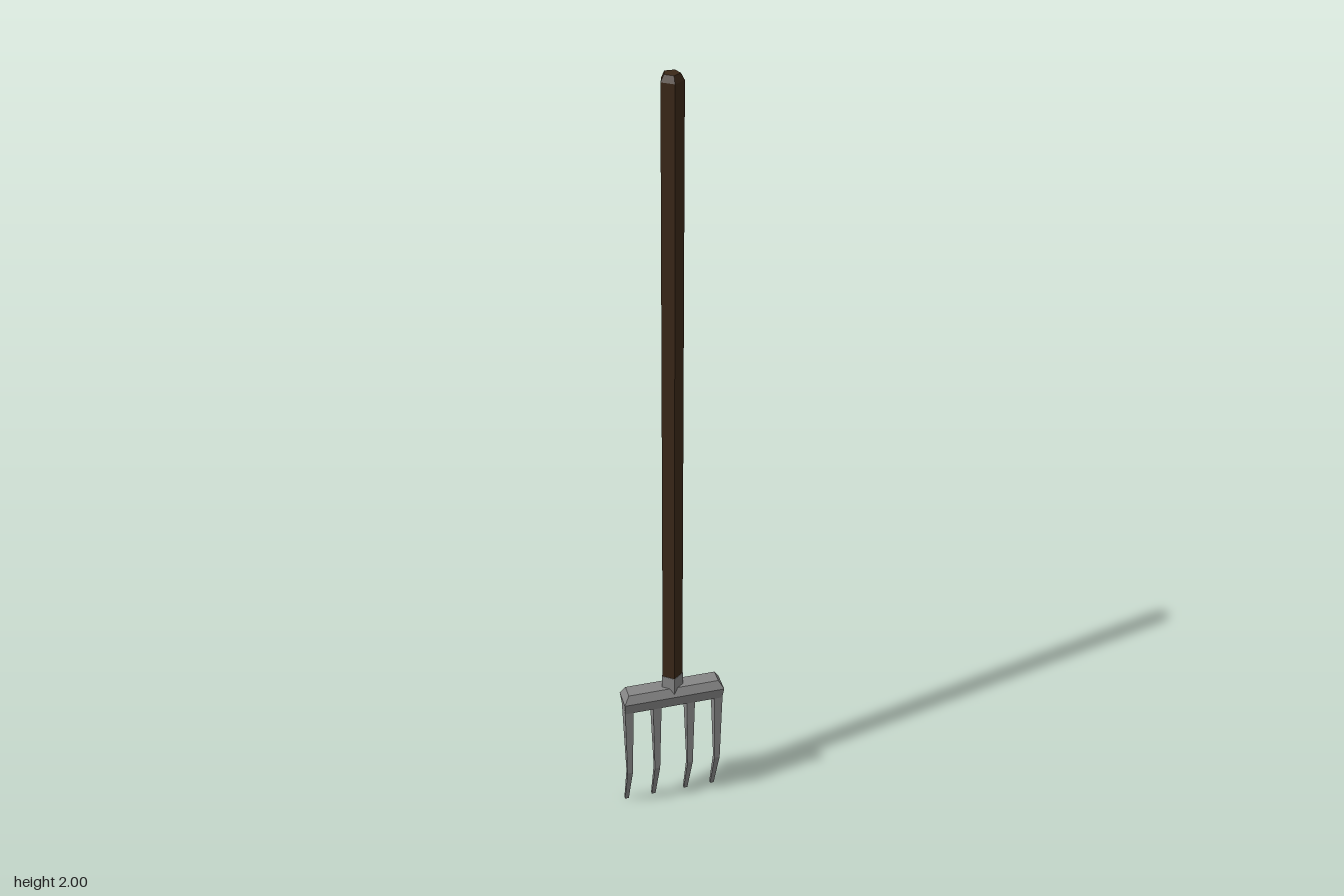
import * as THREE from 'three';

const wood = new THREE.MeshStandardMaterial({ color: 0x3a2818, flatShading: true });
const metal = new THREE.MeshStandardMaterial({ color: 0x858585, flatShading: true });

// Joins rectangular cross-sections [y, x centre, x half, z centre, z half], listed from top to bottom.
function loft(sections) {
  const pos = [], index = [];
  for (const [y, x, hx, z, hz] of sections) {
    pos.push(x - hx, y, z + hz, x + hx, y, z + hz, x + hx, y, z - hz, x - hx, y, z - hz);
  }
  for (let s = 0; s < sections.length - 1; s++) {
    for (let i = 0; i < 4; i++) {
      const a = s * 4 + i, b = s * 4 + (i + 1) % 4;
      index.push(a, a + 4, b, b, a + 4, b + 4);
    }
  }
  const e = (sections.length - 1) * 4;
  index.push(0, 1, 2, 0, 2, 3, e, e + 2, e + 1, e, e + 3, e + 2);
  const g = new THREE.BufferGeometry();
  g.setAttribute('position', new THREE.Float32BufferAttribute(pos, 3));
  g.setIndex(index);
  const flat = g.toNonIndexed();
  flat.computeVertexNormals();
  return flat;
}

export function createModel() {
  const group = new THREE.Group();
  const add = (name, geometry, material) => {
    const mesh = new THREE.Mesh(geometry, material);
    mesh.name = name;
    group.add(mesh);
    return mesh;
  };

  // Five-sided shaft with a bevelled top end
  const profile = [[0, 0.41], [0.027, 0.41], [0.027, 1.985], [0.019, 2], [0, 2]]
    .map(([r, y]) => new THREE.Vector2(r, y));
  add('handle', new THREE.LatheGeometry(profile, 5), wood).position.z = -0.003;

  // Socket gripping the shaft
  const socket = add('socket', new THREE.CylinderGeometry(0.0285, 0.0285, 0.05, 5), metal);
  socket.position.set(0, 0.4, -0.003);

  // Crossbar, bevelled above and tapering below
  add('crossbar', loft([
    [0.39, 0, 0.117, 0, 0.018],
    [0.368, 0, 0.13, 0.001, 0.028],
    [0.335, 0, 0.127, 0.004, 0.018],
  ]), metal);

  // Four tines, kinked backwards near the points
  for (const x of [-0.117, -0.044, 0.044, 0.117]) {
    add('tine', loft([
      [0.345, x, 0.011, 0.004, 0.018],
      [0.13, x, 0.007, 0.013, 0.007],
      [0, x, 0.005, -0.028, 0.004],
    ]), metal);
  }
  return group;
}
